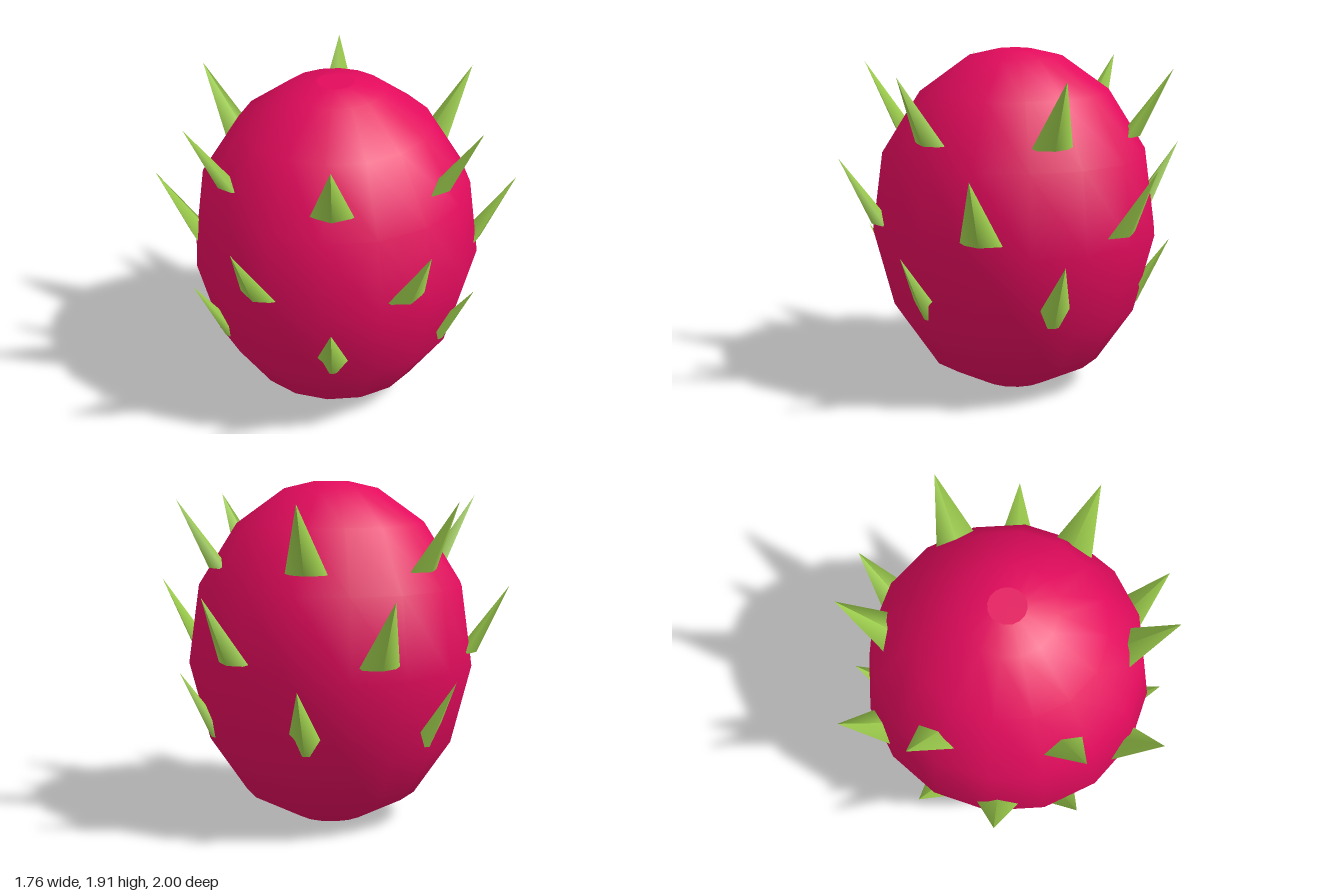
import * as THREE from 'three';

const skin = new THREE.MeshStandardMaterial({ color: 0xe30b5d });
skin.name = 'raspberry pink';
const leaf = new THREE.MeshStandardMaterial({ color: 0x9ccc4c });
leaf.name = 'leaf green';

const SIDES = 16;
const STEP = Math.PI / SIDES;

// Fruit body: turned profile of apothem radius and height
const PROFILE = [
  [0.19, 0], [0.478, 0.155], [0.68, 0.46], [0.79, 0.9],
  [0.73, 1.34], [0.52, 1.68], [0.26, 1.87], [0.1, 1.908],
];

function createBody() {
  const body = new THREE.Group();
  body.name = 'fruitBody';
  const points = PROFILE.map(([r, y]) => new THREE.Vector2(r / Math.cos(STEP), y));
  const shell = new THREE.Mesh(new THREE.LatheGeometry(points, SIDES, STEP), skin);
  shell.name = 'fruitSkin';
  body.add(shell);

  // Flat discs closing the two ends
  const addCap = (name, point, up) => {
    const cap = new THREE.Mesh(new THREE.CircleGeometry(point.x, SIDES, STEP), skin);
    cap.name = name;
    cap.rotation.x = up ? -Math.PI / 2 : Math.PI / 2;
    cap.position.y = point.y;
    body.add(cap);
  };
  addCap('topCap', points[points.length - 1], true);
  addCap('bottomCap', points[0], false);
  return body;
}

// Scale: flattened four-sided spike, base at the origin, leaning outward to +z
function scaleGeometry() {
  const height = 0.375, lean = 0.23;
  const geometry = new THREE.ConeGeometry(1, 1, 4);
  geometry.translate(0, 0.5, 0);
  geometry.scale(0.115, height, 0.055);
  geometry.applyMatrix4(new THREE.Matrix4().set(
    1, 0, 0, 0,
    0, 1, 0, 0,
    0, lean / height, 1, 0,
    0, 0, 0, 1,
  ));
  return geometry;
}

export function createModel() {
  const model = new THREE.Group();
  model.name = 'spikyFruit';
  model.add(createBody());

  // Three staggered rings of six scales
  const geometry = scaleGeometry();
  const rows = [
    { name: 'lowerScale', y: 0.5, radius: 0.65, turn: Math.PI / 6 },
    { name: 'middleScale', y: 0.97, radius: 0.77, turn: 0 },
    { name: 'upperScale', y: 1.445, radius: 0.65, turn: Math.PI / 6 },
  ];
  for (const { name, y, radius, turn } of rows) {
    for (let i = 0; i < 6; i++) {
      const angle = turn + (i * Math.PI) / 3;
      const scale = new THREE.Mesh(geometry, leaf);
      scale.name = name;
      scale.position.set(Math.sin(angle) * radius, y, Math.cos(angle) * radius);
      scale.rotation.y = angle;
      model.add(scale);
    }
  }
  return model;
}
